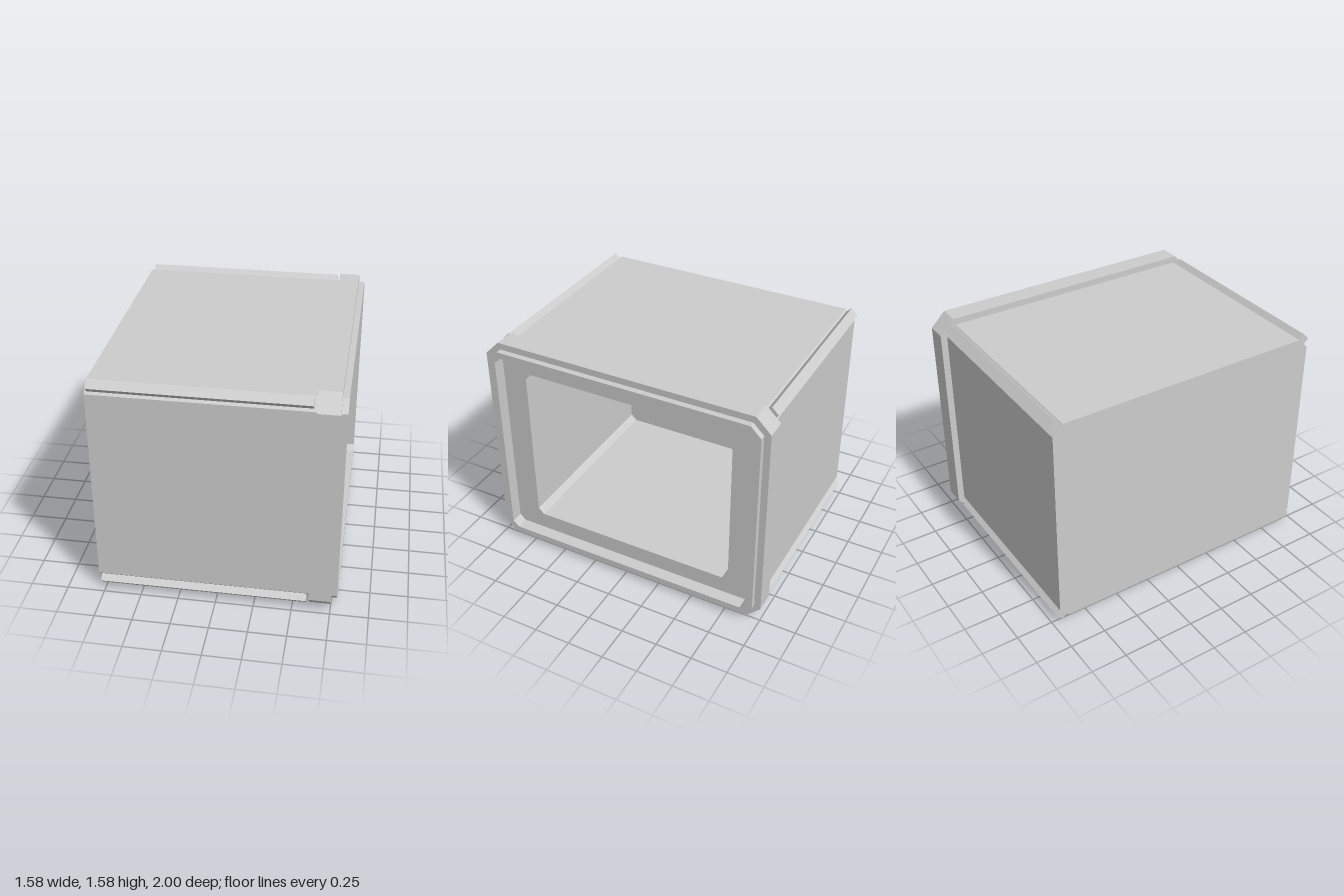
import * as THREE from 'three';

const CENTRE_Y = 0.79;
const material = new THREE.MeshStandardMaterial({ color: 0xcccccc, flatShading: true });

// Rectangle with cut corners: half width w, half height h, corner cut c
function cutRect(w, h, c, Type = THREE.Shape) {
  return new Type([
    [w, -h + c], [w, h - c], [w - c, h], [-w + c, h],
    [-w, h - c], [-w, -h + c], [-w + c, -h], [w - c, -h],
  ].map(([x, y]) => new THREE.Vector2(x, y)));
}

// Extrude a cut rectangle along x from x0 to x1, with an optional opening
function section(name, outer, x0, x1, hole) {
  const shape = cutRect(...outer);
  if (hole) shape.holes.push(cutRect(...hole, THREE.Path));
  const geometry = new THREE.ExtrudeGeometry(shape, { depth: x1 - x0, bevelEnabled: false });
  geometry.rotateY(Math.PI / 2);
  geometry.translate(x0, CENTRE_Y, 0);
  const mesh = new THREE.Mesh(geometry, material);
  mesh.name = name;
  return mesh;
}

export function createModel() {
  const group = new THREE.Group();
  group.name = 'openContainer';

  const body = [0.955, 0.745, 0.07];
  const cavity = [0.74, 0.58, 0.04];
  const mouth = [0.91, 0.70, 0.04];

  // Closed back, thick walls, recessed mouth and the collar around it
  group.add(
    section('backWall', body, -0.79, -0.62),
    section('walls', body, -0.62, 0.705, cavity),
    section('mouthRim', body, 0.705, 0.79, mouth),
    section('collar', [1, 0.79, 0.1], 0.61, 0.75, [0.95, 0.74, 0.07]),
  );

  // Rails lying along the four cut corners
  const thickness = 0.08;
  const inset = thickness / 2 / Math.SQRT2;
  for (const sy of [1, -1]) {
    for (const sz of [1, -1]) {
      const rail = new THREE.Mesh(new THREE.BoxGeometry(1.365, 0.064, thickness), material);
      rail.name = (sy > 0 ? 'upper' : 'lower') + (sz > 0 ? 'Front' : 'Back') + 'Rail';
      rail.position.set(-0.0925, CENTRE_Y + sy * (0.7475 - inset), sz * (0.9525 - inset));
      rail.rotation.x = -sy * sz * Math.PI / 4;
      group.add(rail);
    }
  }
  return group;
}
